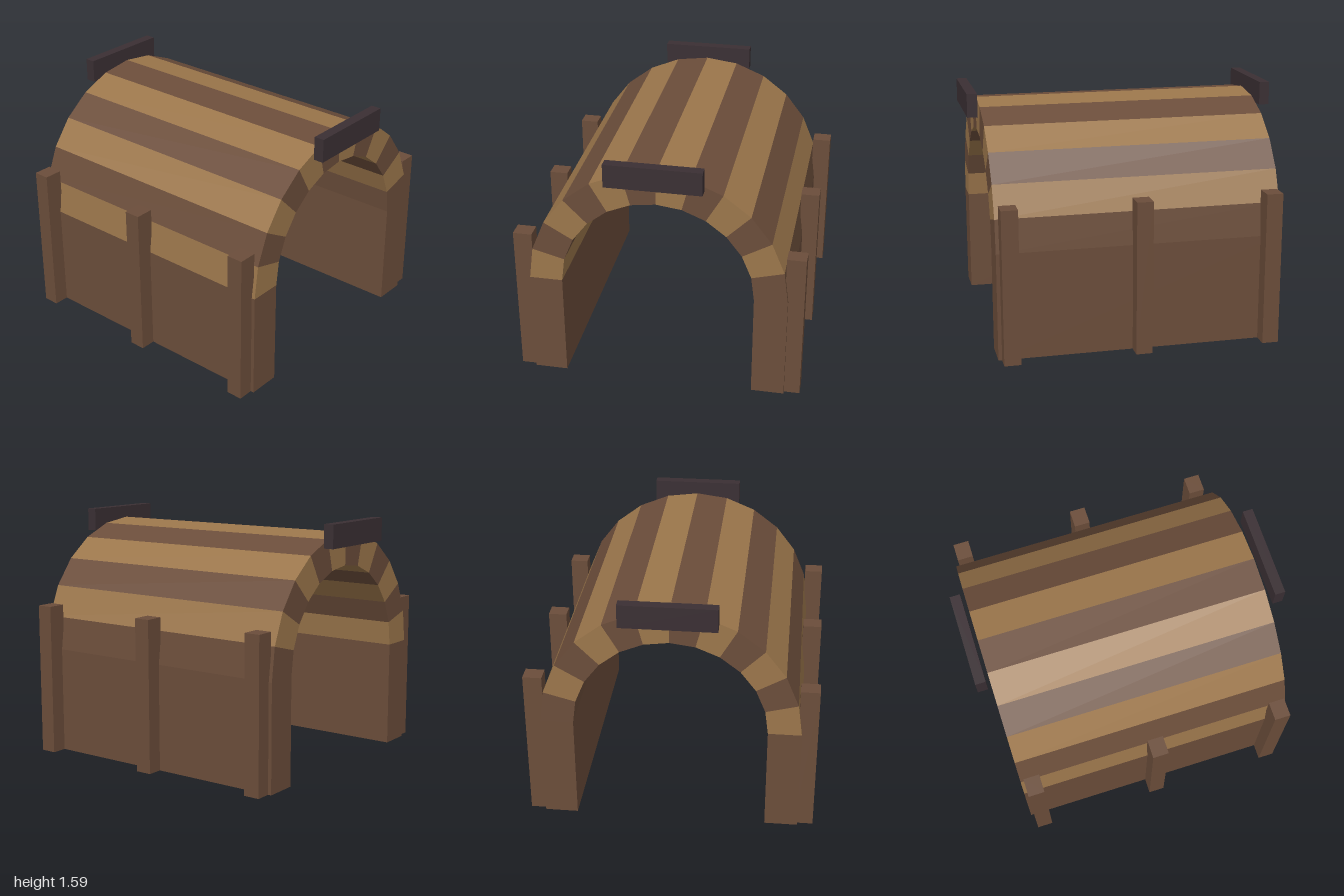
import * as THREE from 'three';

export function createModel() {
  const model = new THREE.Group();
  model.name = 'woodenTunnel';

  const mat = (name, color) => {
    const m = new THREE.MeshStandardMaterial({ color });
    m.name = name;
    return m;
  };
  const darkWood = mat('darkWood', 0x6b4d3a);
  const lightWood = mat('lightWood', 0x9b764b);
  const charcoal = mat('charcoal', 0x3a2f33);

  const OUTER = 0.82, INNER = 0.61, SPRING = 0.69, LENGTH = 1.82, PLANKS = 12;

  function addBox(name, material, w, h, d, x, y, z) {
    const mesh = new THREE.Mesh(new THREE.BoxGeometry(w, h, d), material);
    mesh.name = name;
    mesh.position.set(x, y, z);
    model.add(mesh);
  }

  // Arched roof: wedge-shaped planks in alternating colours
  const roof = new THREE.Group();
  roof.name = 'archRoof';
  const point = (r, a) => new THREE.Vector2(r * Math.cos(a), SPRING + r * Math.sin(a));
  for (let i = 0; i < PLANKS; i++) {
    const a = (i / PLANKS) * Math.PI, b = ((i + 1) / PLANKS) * Math.PI;
    const wedge = new THREE.Shape([point(INNER, a), point(OUTER, a), point(OUTER, b), point(INNER, b)]);
    const geometry = new THREE.ExtrudeGeometry(wedge, { depth: LENGTH, bevelEnabled: false });
    geometry.translate(0, 0, -LENGTH / 2);
    const plank = new THREE.Mesh(geometry, i % 2 ? lightWood : darkWood);
    plank.name = 'archPlank' + (i + 1);
    roof.add(plank);
  }
  model.add(roof);

  // Side walls and their support posts
  for (const side of [1, -1]) {
    const label = side > 0 ? 'left' : 'right';
    addBox(label + 'Wall', darkWood, OUTER - INNER, SPRING, LENGTH, side * (OUTER + INNER) / 2, SPRING / 2, 0);
    for (const z of [-0.835, 0, 0.835])
      addBox(label + 'Post', darkWood, 0.12, 0.99, 0.105, side * 0.86, 0.495, z);
  }

  // Blank header boards in front of both openings
  for (const side of [1, -1])
    addBox(side > 0 ? 'frontBoard' : 'backBoard', charcoal, 0.6, 0.15, 0.066, 0, 1.51, side * 0.967);

  return model;
}
